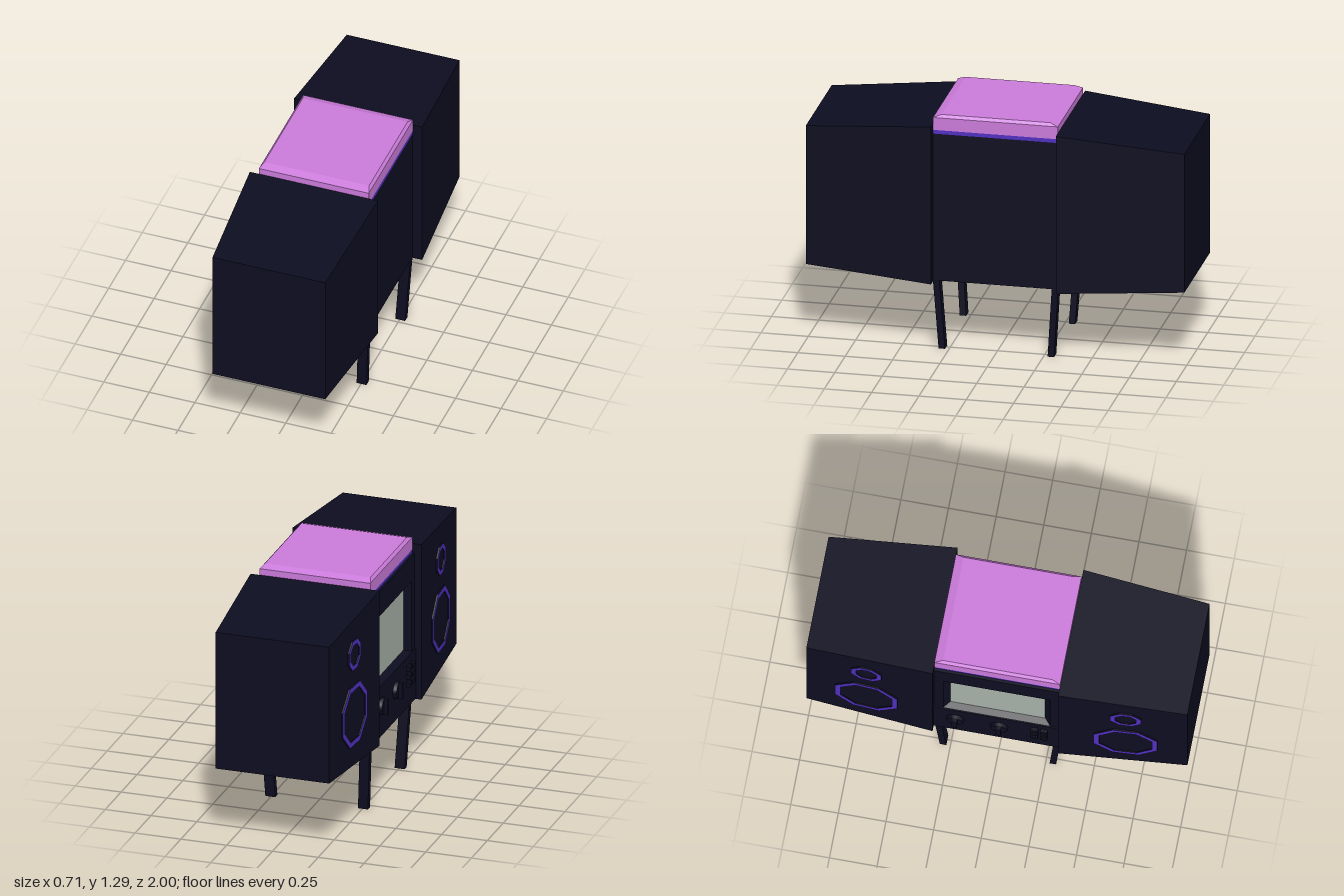
import * as THREE from 'three';

const mat = (name, color) => {
  const m = new THREE.MeshStandardMaterial({ color });
  m.name = name;
  return m;
};

export function createModel() {
  const dark = mat('midnight cabinet', 0x0d0d21);
  const purple = mat('purple trim', 0x5030c0);
  const pink = mat('pink lid', 0xcb7bdb);
  const glass = mat('grey screen', 0xa6b2a8);
  const root = new THREE.Group();
  root.name = 'stereoConsole';

  const add = (name, geo, material, x = 0, y = 0, z = 0, parent = root) => {
    const m = new THREE.Mesh(geo, material);
    m.name = name;
    m.position.set(x, y, z);
    parent.add(m);
    return m;
  };
  // Box given by its limits on each axis
  const slab = (name, material, [x0, x1], [y0, y1], [z0, z1], parent = root) =>
    add(name, new THREE.BoxGeometry(x1 - x0, y1 - y0, z1 - z0), material,
      (x0 + x1) / 2, (y0 + y1) / 2, (z0 + z1) / 2, parent);
  // Box whose corners are moved by a rule, with flat faces
  const shapedBox = (rule) => {
    const g = new THREE.BoxGeometry(2, 2, 2);
    const p = g.attributes.position;
    for (let i = 0; i < p.count; i++) p.setXYZ(i, ...rule(p.getX(i), p.getY(i), p.getZ(i)));
    g.computeVertexNormals();
    return g;
  };
  // Flat-topped octagon given by the distance to its sides
  const octagon = (apothem, Type = THREE.Shape) => {
    const r = apothem / Math.cos(Math.PI / 8);
    const pts = [];
    for (let i = 0; i < 8; i++) {
      const a = (i + 0.5) * Math.PI / 4;
      pts.push(new THREE.Vector2(r * Math.cos(a), r * Math.sin(a)));
    }
    return new Type(pts);
  };
  const extrude = (shape, depth) =>
    new THREE.ExtrudeGeometry(shape, { depth, bevelEnabled: false });

  // Speaker cabinets tapering toward the ends
  const tilt = Math.atan2(0.04, 0.67);
  for (const s of [-1, 1]) {
    add('speakerCabinet', shapedBox((x, y, z) => {
      const outer = z * s > 0;
      const top = outer ? 1.18 : 1.24, bottom = outer ? 0.42 : 0.375;
      return [x * (outer ? 0.31 : 0.352), y > 0 ? top : bottom, s * (outer ? 1 : 0.33)];
    }), dark);

    // Woofer and tweeter with purple rings, lying on the slanted face
    for (const [name, y, apothem, inner] of [['woofer', 0.685, 0.165, 0.137], ['tweeter', 1.02, 0.08, 0.055]]) {
      const unit = new THREE.Group();
      unit.name = name;
      unit.position.set(-0.31 - 0.32 * 0.0615, y, s * 0.68);
      unit.rotation.y = -Math.PI / 2 + s * tilt;
      root.add(unit);
      add(name + 'Cone', extrude(octagon(inner), 0.006), dark, 0, 0, 0, unit);
      const ring = octagon(apothem);
      ring.holes.push(octagon(inner, THREE.Path));
      add(name + 'Ring', extrude(ring, 0.009), [purple, dark], 0, 0, 0.003, unit);
    }
  }

  // Centre body
  slab('centreBody', dark, [-0.27, 0.3], [0.38, 1.188], [-0.33, 0.33]);
  slab('controlPanel', dark, [-0.322, -0.27], [0.38, 0.66], [-0.33, 0.33]);
  slab('upperPanel', dark, [-0.315, -0.27], [1.05, 1.188], [-0.33, 0.33]);
  for (const s of [-1, 1]) {
    slab('screenPost', dark, [-0.315, -0.27], [0.66, 1.05], s > 0 ? [0.28, 0.33] : [-0.33, -0.28]);
  }

  // Recessed screen with sloping surround
  const frame = [[0.28, 0.66, 1.05, -0.314], [0.248, 0.675, 1.018, -0.28]];
  const loop = ([z, b, t, x]) => [[x, b, -z], [x, b, z], [x, t, z], [x, t, -z]];
  const [outer, inner] = frame.map(loop);
  const corners = [];
  for (let i = 0; i < 4; i++) {
    const j = (i + 1) % 4;
    corners.push(...outer[i], ...outer[j], ...inner[j], ...outer[i], ...inner[j], ...inner[i]);
  }
  const surround = new THREE.BufferGeometry();
  surround.setAttribute('position', new THREE.Float32BufferAttribute(corners, 3));
  surround.computeVertexNormals();
  const surroundMat = mat('midnight surround', 0x0d0d21);
  surroundMat.side = THREE.DoubleSide;
  add('screenSurround', surround, surroundMat);
  slab('screen', glass, [-0.282, -0.274], [0.675, 1.018], [-0.248, 0.248]);

  // Control knobs with grip bars
  for (const z of [-0.215, 0.015]) {
    const base = add('knob', new THREE.CylinderGeometry(0.045, 0.048, 0.02, 12), dark, -0.331, 0.548, z);
    base.rotation.z = Math.PI / 2;
    slab('knobGrip', dark, [-0.36, -0.33], [0.506, 0.59], [z - 0.013, z + 0.013]);
  }
  // Push buttons
  for (let row = 0; row < 3; row++) {
    for (const z of [0.2, 0.25]) {
      const y = 0.51 + row * 0.045;
      slab('button', dark, [-0.34, -0.32], [y - 0.014, y + 0.014], [z - 0.018, z + 0.018]);
    }
  }

  // Lid with bevelled top over a purple seam
  slab('lidSeam', purple, [-0.3, 0.301], [1.186, 1.207], [-0.33, 0.33]);
  slab('lidSide', pink, [-0.302, 0.302], [1.207, 1.275], [-0.33, 0.33]);
  add('lidTop', shapedBox((x, y, z) => (y > 0 ? [x * 0.288, 1.29, z * 0.287] : [x * 0.302, 1.275, z * 0.33])), pink);

  // Splayed legs
  for (const sx of [-1, 1]) {
    for (const sz of [-1, 1]) {
      add('leg', shapedBox((x, y, z) => {
        const up = y > 0;
        return [sx * (up ? 0.272 : 0.253) + x * 0.027, up ? 0.385 : 0, sz * (up ? 0.314 : 0.288) + z * 0.017];
      }), dark);
    }
  }
  return root;
}
